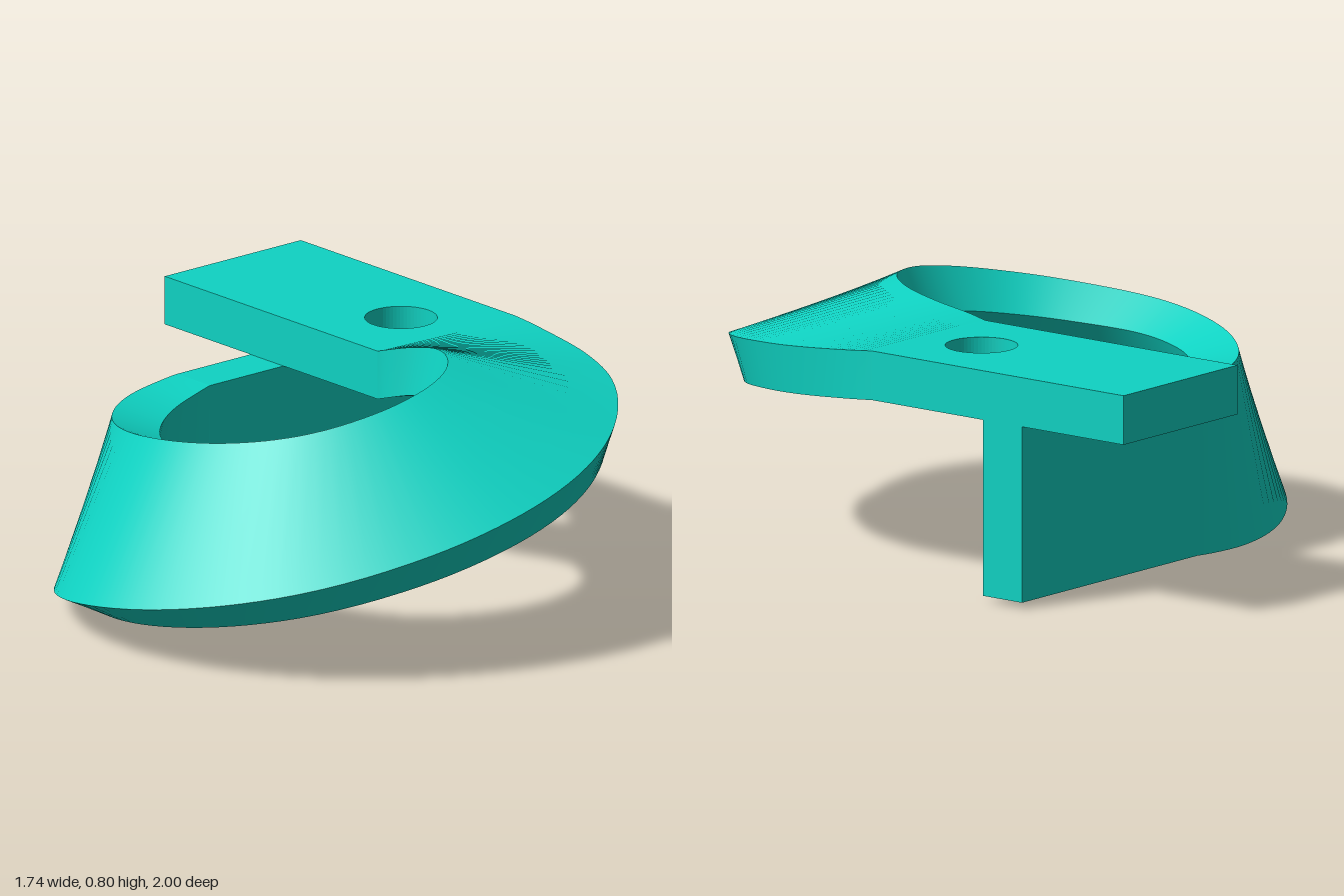
import * as THREE from 'three';
import { mergeGeometries } from 'three/addons/utils/BufferGeometryUtils.js';

const W = 0.555;  // band width
const T = 0.155;  // band thickness

// Spine of the twisted band: angle in degrees, radius, height
const SPINE = [
  [0, 0.577, 0.6525], [11, 0.591, 0.654], [24, 0.63, 0.656], [36, 0.665, 0.655],
  [56, 0.696, 0.635], [70, 0.71, 0.612], [90, 0.72, 0.57], [107, 0.722, 0.525],
  [133, 0.717, 0.452], [155, 0.693, 0.4], [180, 0.665, 0.355], [205, 0.626, 0.315],
  [227, 0.585, 0.292], [250, 0.545, 0.288], [261, 0.527, 0.292], [270, 0.5195, 0.2975],
];

// Rectangle swept three quarters of a turn while rolling a quarter turn
function bandGeometry(steps = 96) {
  const curve = new THREE.CatmullRomCurve3(
    SPINE.map(([a, r, y]) => new THREE.Vector3(THREE.MathUtils.degToRad(a), r, y)));
  const corners = [[1, 1], [-1, 1], [-1, -1], [1, -1]];
  const corner = (u, [sa, sb]) => {
    const { x: angle, y: radius, z: height } = curve.getPoint(u);
    const roll = angle / 3, a = sa * W / 2, b = sb * T / 2;
    const r = radius + a * Math.cos(roll) + b * Math.sin(roll);
    return [r * Math.cos(angle), height - a * Math.sin(roll) + b * Math.cos(roll), r * Math.sin(angle)];
  };
  // One smooth strip per side keeps the long edges sharp
  const strips = corners.map((from, k) => {
    const to = corners[(k + 1) % 4], positions = [], index = [];
    for (let i = 0; i <= steps; i++) {
      positions.push(...corner(i / steps, from), ...corner(i / steps, to));
      if (i < steps) {
        const n = 2 * i;
        index.push(n, n + 1, n + 2, n + 1, n + 3, n + 2);
      }
    }
    const g = new THREE.BufferGeometry();
    g.setAttribute('position', new THREE.Float32BufferAttribute(positions, 3));
    g.setIndex(index);
    g.computeVertexNormals();
    return g;
  });
  return mergeGeometries(strips);
}

// Flat arm with a round hole, drawn in plan and laid down
function armGeometry() {
  const x0 = 0.577 - W / 2, x1 = 0.577 + W / 2;
  const shape = new THREE.Shape([[x0, 0], [x1, 0], [x1, 1], [x0, 1]].map(p => new THREE.Vector2(...p)));
  shape.holes.push(new THREE.Path().absarc(0.577, 0.21, 0.112, 0, Math.PI * 2, true));
  return new THREE.ExtrudeGeometry(shape, { depth: T, bevelEnabled: false, curveSegments: 32 })
    .rotateX(-Math.PI / 2).translate(0, 0.6525 - T / 2, 0);
}

export function createModel() {
  const model = new THREE.Group();
  model.name = 'twistedBracket';
  const teal = new THREE.MeshStandardMaterial({ color: 0x0fd3c3 });
  teal.name = 'teal';
  const add = (name, geometry) => {
    const mesh = new THREE.Mesh(geometry, teal);
    mesh.name = name;
    model.add(mesh);
  };
  add('twistedBand', bandGeometry());
  add('flatArm', armGeometry());
  // Upright plate joining the band's end to the underside of the arm
  add('uprightPlate', new THREE.BoxGeometry(0.8545, W, T).translate(0.8545 / 2, 0.2975, -0.5195));
  return model;
}
